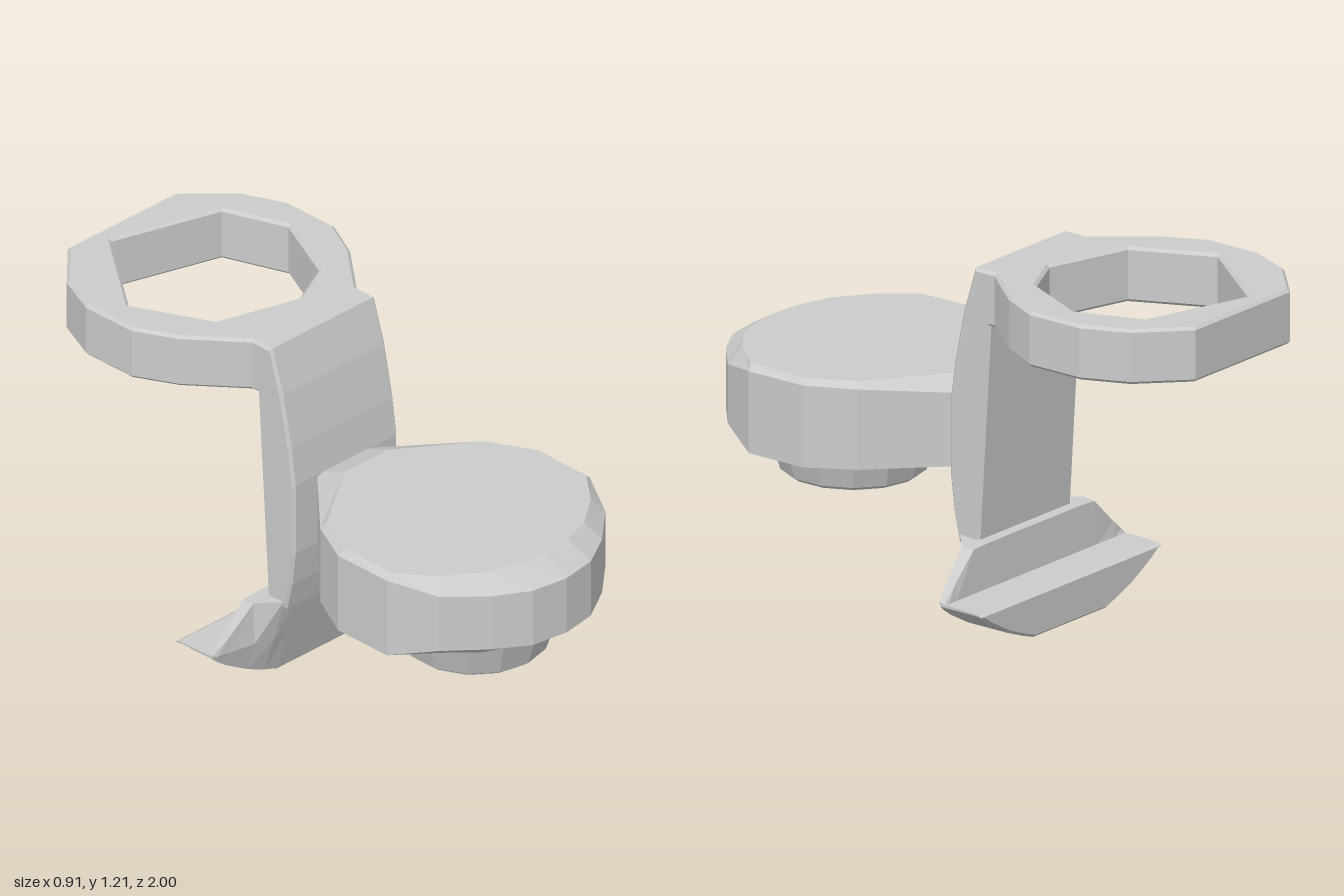
import * as THREE from 'three';

const material = new THREE.MeshStandardMaterial({ color: 0xcccccc, flatShading: true });

function addMesh(group, geometry, name) {
  const mesh = new THREE.Mesh(geometry, material);
  mesh.name = name;
  group.add(mesh);
  return mesh;
}

// Skin a closed solid through loops of equal length, listed in order; both ends get fan caps.
function loft(loops) {
  const tris = [];
  const n = loops[0].length;
  for (let i = 0; i + 1 < loops.length; i++) {
    for (let j = 0; j < n; j++) {
      const k = (j + 1) % n;
      const a = loops[i][j], b = loops[i][k], c = loops[i + 1][k], d = loops[i + 1][j];
      tris.push([a, b, c], [a, c, d]);
    }
  }
  // Cap triangulation handles concave outlines when the ends lie in one x plane
  const cap = (loop, flip) => {
    const flatX = loop.every(p => p[0] === loop[0][0]);
    const flat = loop.map(p => new THREE.Vector2(flatX ? p[2] : p[0], flatX ? p[1] : p[2]));
    const clockwise = THREE.ShapeUtils.isClockWise(flat);
    for (const f of THREE.ShapeUtils.triangulateShape(flat, [])) {
      const t = f.map(i => loop[i]);
      const same = THREE.ShapeUtils.area(f.map(i => flat[i])) < 0 === clockwise;
      tris.push(same === flip ? t.reverse() : t);
    }
  };
  cap(loops[0], true);
  cap(loops[loops.length - 1], false);
  // Signed volume decides which way the faces look
  let volume = 0;
  const [a, b, c] = [0, 1, 2].map(() => new THREE.Vector3());
  for (const t of tris) volume += a.fromArray(t[0]).dot(b.fromArray(t[1]).cross(c.fromArray(t[2])));
  if (volume < 0) tris.forEach(t => t.reverse());
  const geometry = new THREE.BufferGeometry();
  geometry.setAttribute('position', new THREE.Float32BufferAttribute(tris.flat(2), 3));
  geometry.computeVertexNormals();
  return geometry;
}

// Complete a half outline across x = 0
function mirror(half) {
  const other = half.filter(p => p[0] > 0).map(([x, ...rest]) => [-x, ...rest]).reverse();
  return [...half, ...other];
}

const vectors = points => points.map(([x, y]) => new THREE.Vector2(x, y));

function createRing() {
  // Plan outline in x and -z, shrunk by the bevel
  const bevel = 0.01;
  const half = [[0.225, 0.11], [0.225, 0.18], [0.375, 0.36], [0.445, 0.5],
    [0.445, 0.7], [0.38, 0.85], [0.235, 0.99]];
  const shape = new THREE.Shape(vectors(mirror(half)));
  shape.holes.push(new THREE.Path(vectors([[-0.112, 0.947], [0.28, 0.828], [0.363, 0.6],
    [0.238, 0.336], [0.06, 0.248], [-0.237, 0.336], [-0.367, 0.61]])));
  const geometry = new THREE.ExtrudeGeometry(shape, { depth: 0.185 - 2 * bevel,
    bevelSize: bevel, bevelThickness: bevel, bevelSegments: 1 });
  geometry.rotateX(-Math.PI / 2);
  geometry.translate(0, 1.03 + bevel, 0);
  return geometry;
}

function createUpright() {
  // Side profile: x holds -z, curved front and straight back
  const shape = new THREE.Shape(vectors([[0.1, 1.205], [0.145, 1.205], [0.145, 1.03],
    [0.1, 0.29], [0.035, 0.29], [0.015, 0.38], [0, 0.5], [0, 0.75], [0.018, 0.88],
    [0.055, 1.06]]));
  const geometry = new THREE.ExtrudeGeometry(shape, { depth: 0.45,
    bevelSize: 0.01, bevelThickness: 0.01, bevelSegments: 1 });
  geometry.translate(0, 0, -0.225);
  geometry.rotateY(Math.PI / 2);
  return geometry;
}

function createFoot() {
  // Sections across x: [x, ridge y, ridge front z, middle front z, bottom y, bottom front z]
  const stations = [
    [0.18, 0.307, -0.03, -0.075, 0.003, -0.12],
    [0.235, 0.307, -0.035, -0.075, 0.022, -0.12],
    [0.305, 0.303, -0.1, -0.095, 0.05, -0.125],
    [0.4, 0.21, -0.115, -0.115, 0.103, -0.13],
    [0.44, 0.175, -0.125, -0.122, 0.132, -0.13],
    [0.455, 0.16, -0.13, -0.13, 0.145, -0.135],
  ];
  const section = ([x, top, ridgeZ, midZ, bottom, bottomZ]) => [
    [x, top, ridgeZ], [x, top - 0.005, -0.147], [x, 0.154, -0.155],
    [x, 0.15, -0.285], [x, 0.142, -0.3], [x, Math.min(bottom + 0.01, 0.142), -0.3],
    [x, bottom, -0.288], [x, bottom, bottomZ], [x, 0.155, midZ]];
  const left = stations.map(section);
  const right = stations.map(([x, ...rest]) => section([-x, ...rest])).reverse();
  return loft([...right, ...left]);
}

function createSeat() {
  // Half outlines [x, y, z] from the underside up to the flat top
  const bottom = [[0.07, 0.495, 0], [0.29, 0.485, 0.3], [0.36, 0.48, 0.44], [0.36, 0.475, 0.62],
    [0.3, 0.472, 0.74], [0.2, 0.47, 0.83], [0.1, 0.47, 0.87], [0, 0.47, 0.88]];
  const wallLow = [[0.1, 0.5, -0.02], [0.375, 0.495, 0.27], [0.455, 0.49, 0.43], [0.455, 0.49, 0.65],
    [0.375, 0.535, 0.8], [0.25, 0.535, 0.91], [0.13, 0.53, 0.98], [0, 0.53, 1]];
  const wallHigh = [[0.1, 0.74, -0.02], [0.375, 0.765, 0.27], [0.455, 0.765, 0.43], [0.455, 0.765, 0.65],
    [0.375, 0.735, 0.8], [0.25, 0.73, 0.91], [0.13, 0.73, 0.98], [0, 0.73, 1]];
  const top = [[0.1, 0.785, 0.1], [0.355, 0.785, 0.28], [0.435, 0.785, 0.44], [0.43, 0.785, 0.66],
    [0.34, 0.785, 0.77], [0.22, 0.785, 0.86], [0.11, 0.785, 0.895], [0, 0.785, 0.905]];
  return loft([bottom, wallLow, wallHigh, top].map(mirror));
}

function createHub() {
  // Tapered boss with a square socket sunk into its underside
  const group = new THREE.Group();
  group.name = 'hub';
  const outer = new THREE.LatheGeometry(vectors([[0.222, 0.333], [0.238, 0.345], [0.285, 0.485]]), 14);
  addMesh(group, outer, 'hubWall');
  const rim = new THREE.Shape().absarc(0, 0, 0.222, 0, Math.PI * 2, false);
  rim.holes.push(new THREE.Path(vectors([[0.18, 0], [0, 0.18], [-0.18, 0], [0, -0.18]])));
  const rimGeometry = new THREE.ShapeGeometry(rim, 14);
  rimGeometry.rotateX(Math.PI / 2);
  rimGeometry.translate(0, 0.333, 0);
  addMesh(group, rimGeometry, 'hubRim');
  const socket = new THREE.LatheGeometry(vectors([[0, 0.45], [0.12, 0.45], [0.18, 0.333]]), 4);
  addMesh(group, socket, 'hubSocket');
  group.children.forEach(mesh => {
    mesh.material = material.clone();
    mesh.material.side = THREE.DoubleSide;
  });
  group.position.z = 0.59;
  return group;
}

export function createModel() {
  const model = new THREE.Group();
  model.name = 'model';
  addMesh(model, createRing(), 'topRing');
  addMesh(model, createUpright(), 'upright');
  addMesh(model, createFoot(), 'foot');
  addMesh(model, createSeat(), 'seat');
  model.add(createHub());
  return model;
}
